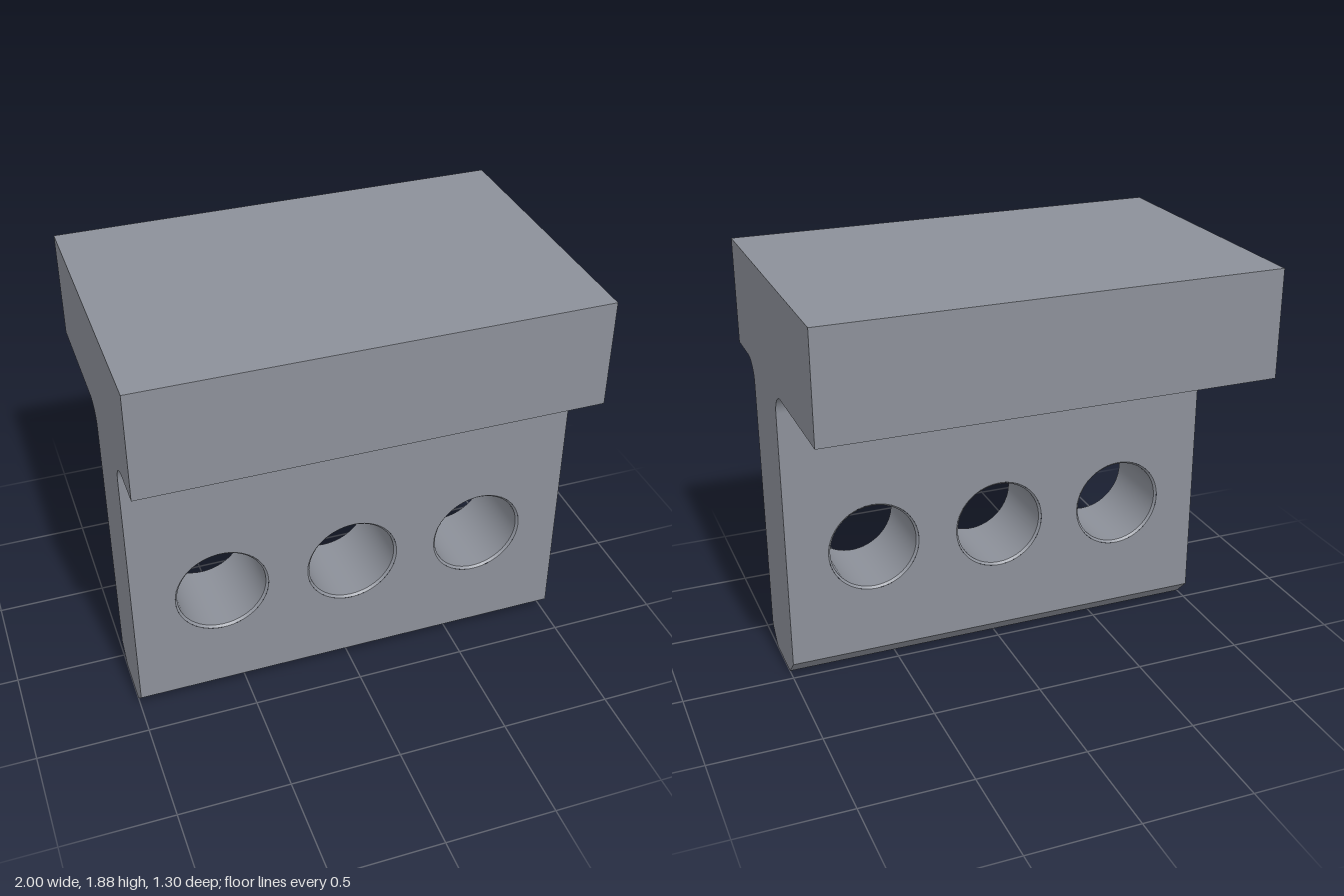
import * as THREE from 'three';
import { mergeGeometries, toCreasedNormals } from 'three/addons/utils/BufferGeometryUtils.js';

const HALF = 1;                       // half length along x
const FRONT = 0.375, BACK = -0.015;   // faces of the web
const FILLET = 0.1, UNDER = 1.4, TOP = 1.88, DEPTH = 0.65;
const CHAMFER = 0.08, ROOT = UNDER - FILLET;
const HOLE_Y = 0.6, HOLE_R = 0.2, RIM = 0.01, HOLE_X = [-0.6, 0, 0.6];

// quarter arc in the (z, y) plane
function arc(cz, cy, from, to, steps = 16) {
  return Array.from({ length: steps + 1 }, (_, i) => {
    const a = from + (to - from) * i / steps;
    return new THREE.Vector2(cz + FILLET * Math.cos(a), cy + FILLET * Math.sin(a));
  });
}

// sweep an open (z, y) line along x
function strip(line) {
  const pos = [];
  for (let i = 0; i < line.length - 1; i++) {
    const a = line[i], b = line[i + 1];
    pos.push(HALF, a.y, a.x, HALF, b.y, b.x, -HALF, b.y, b.x);
    pos.push(HALF, a.y, a.x, -HALF, b.y, b.x, -HALF, a.y, a.x);
  }
  return new THREE.BufferGeometry().setAttribute('position', new THREE.Float32BufferAttribute(pos, 3));
}

// keep only triangle positions so that all pieces can be merged
function bare(geometry) {
  const g = geometry.index ? geometry.toNonIndexed() : geometry;
  for (const name of Object.keys(g.attributes)) if (name !== 'position') g.deleteAttribute(name);
  return g;
}

export function createModel() {
  const v = (z, y) => new THREE.Vector2(z, y);
  const steel = new THREE.MeshStandardMaterial({ color: 0x8c9099 });
  steel.name = 'steel grey';

  // flange with fillets, and chamfered foot
  const upper = [
    ...arc(FRONT + FILLET, ROOT, Math.PI, Math.PI / 2),
    v(DEPTH, UNDER), v(DEPTH, TOP), v(-DEPTH, TOP), v(-DEPTH, UNDER),
    ...arc(BACK - FILLET, ROOT, Math.PI / 2, 0),
  ];
  const lower = [v(BACK, CHAMFER), v(BACK + CHAMFER, 0), v(FRONT - CHAMFER, 0), v(FRONT, CHAMFER)];

  // T-shaped ends
  const profile = new THREE.Shape([...upper, ...lower]);
  const rightEnd = new THREE.ShapeGeometry(profile).rotateY(-Math.PI / 2);
  const leftEnd = rightEnd.clone();
  leftEnd.index.array.reverse();
  rightEnd.translate(-HALF, 0, 0);
  leftEnd.translate(HALF, 0, 0);

  // web faces with three holes
  const face = new THREE.Shape([v(-HALF, CHAMFER), v(HALF, CHAMFER), v(HALF, ROOT), v(-HALF, ROOT)]);
  for (const x of HOLE_X) {
    face.holes.push(new THREE.Path().absarc(x, HOLE_Y, HOLE_R + RIM, 0, Math.PI * 2, true));
  }
  const frontFace = new THREE.ShapeGeometry(face, 64).translate(0, 0, FRONT);
  const backFace = new THREE.ShapeGeometry(face, 64).rotateY(Math.PI).translate(0, 0, BACK);

  // bores with small rim chamfers, facing inwards
  const h = (FRONT - BACK) / 2;
  const bores = HOLE_X.map((x) => new THREE.LatheGeometry([
    v(HOLE_R + RIM, h), v(HOLE_R, h - RIM), v(HOLE_R, -h + RIM), v(HOLE_R + RIM, -h),
  ], 64).rotateX(Math.PI / 2).translate(x, HOLE_Y, (FRONT + BACK) / 2));

  const parts = [strip(upper), strip(lower), rightEnd, leftEnd, frontFace, backFace, ...bores];
  const bar = new THREE.Mesh(toCreasedNormals(mergeGeometries(parts.map(bare)), 0.5), steel);
  bar.name = 'drilledTeeBar';

  const model = new THREE.Group();
  model.name = 'teeBracket';
  model.add(bar);
  return model;
}
